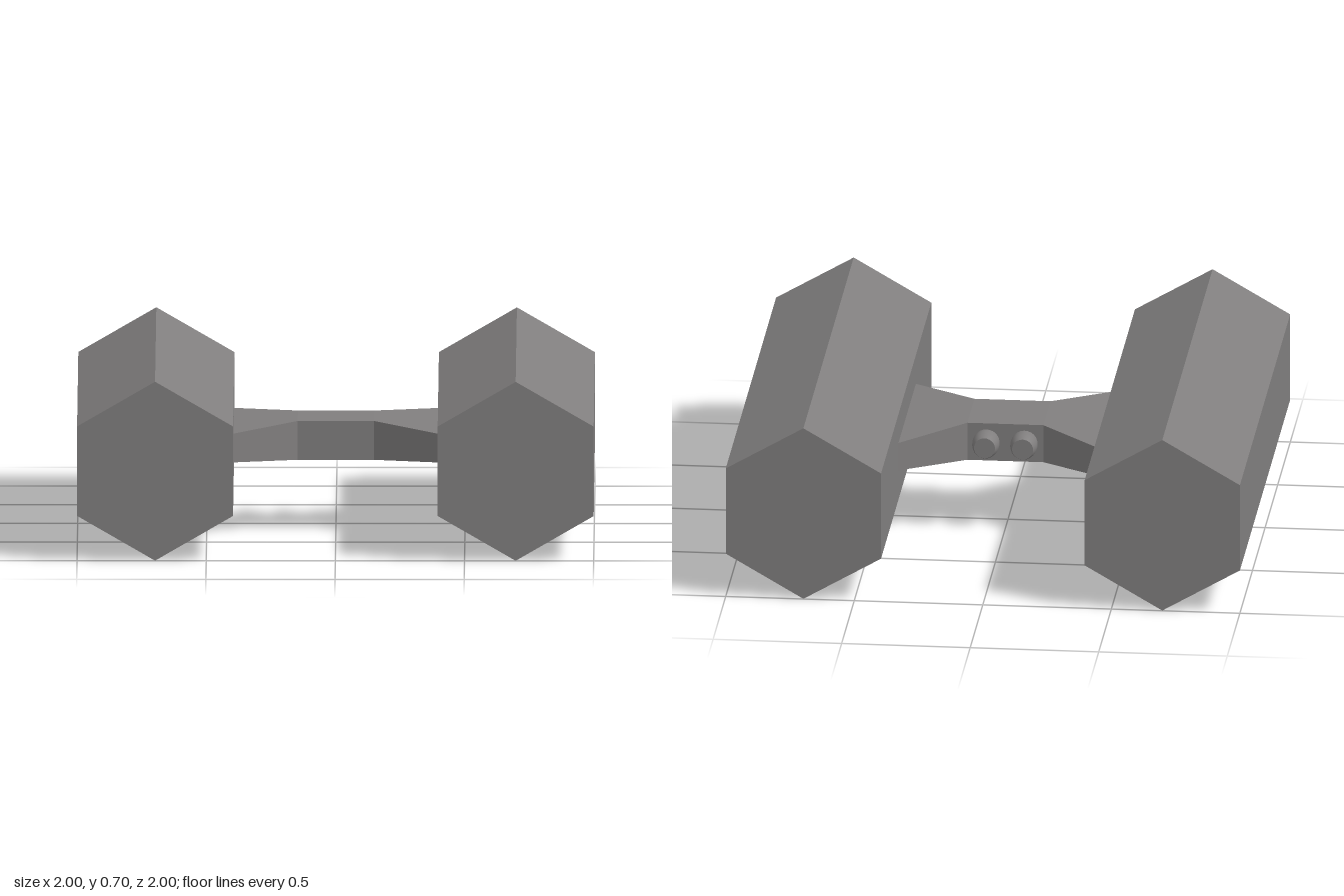
import * as THREE from 'three';

const hull = new THREE.MeshStandardMaterial({ color: 0x807e7e });
hull.name = 'hullGrey';

// Straight-edged solid lofted along x through rectangular sections [x, y0, y1, z0, z1]
function loft(sections) {
  const pos = [];
  const rings = sections.map(([x, y0, y1, z0, z1]) =>
    [[x, y0, z0], [x, y1, z0], [x, y1, z1], [x, y0, z1]]);
  const quad = (a, b, c, d) => pos.push(...a, ...b, ...c, ...a, ...c, ...d);
  for (let i = 0; i < rings.length - 1; i++) {
    for (let j = 0; j < 4; j++) {
      const k = (j + 1) % 4;
      quad(rings[i][j], rings[i][k], rings[i + 1][k], rings[i + 1][j]);
    }
  }
  const first = rings[0], last = rings[rings.length - 1];
  quad(first[3], first[2], first[1], first[0]);
  quad(last[0], last[1], last[2], last[3]);
  const geo = new THREE.BufferGeometry();
  geo.setAttribute('position', new THREE.Float32BufferAttribute(pos, 3));
  geo.computeVertexNormals();
  return geo;
}

// Hexagonal prism along z, with a ridge at top and bottom
function hexPrism() {
  const shape = new THREE.Shape([
    [0, 0.35], [-0.302, 0.175], [-0.302, -0.175],
    [0, -0.35], [0.302, -0.175], [0.302, 0.175],
  ].map(([x, y]) => new THREE.Vector2(x, y)));
  const geo = new THREE.ExtrudeGeometry(shape, { depth: 1.995, bevelEnabled: false });
  geo.translate(0, 0, -0.9975);
  return geo;
}

// Barrel-shaped engine nozzle pointing to the back, with a flat end cap
function nozzle() {
  const group = new THREE.Group();
  const profile = [[0.05, -0.01], [0.053, 0.02], [0.052, 0.04], [0.048, 0.06], [0.041, 0.078]];
  const side = new THREE.LatheGeometry(profile.map(([r, y]) => new THREE.Vector2(r, y)), 24);
  side.rotateX(-Math.PI / 2);
  const cap = new THREE.CircleGeometry(0.041, 24);
  cap.rotateY(Math.PI);
  cap.translate(0, 0, -0.078);
  const parts = { nozzleSide: side, nozzleCap: cap };
  for (const name in parts) {
    const mesh = new THREE.Mesh(parts[name], hull);
    mesh.name = name;
    group.add(mesh);
  }
  return group;
}

export function createModel() {
  const model = new THREE.Group();
  model.name = 'twinHullShip';

  // Central body flaring out and thinning towards both hulls
  const body = new THREE.Mesh(loft([
    [-0.4, 0.295, 0.407, -0.31, 0.387],
    [-0.148, 0.275, 0.427, -0.102, 0.178],
    [0.148, 0.275, 0.427, -0.102, 0.178],
    [0.4, 0.295, 0.407, -0.31, 0.387],
  ]), hull);
  body.name = 'centralBody';
  model.add(body);

  for (const [side, label] of [[1, 'left'], [-1, 'right']]) {
    const pod = new THREE.Mesh(hexPrism(), hull);
    pod.name = label + 'Hull';
    pod.position.set(side * 0.698, 0.35, 0);
    model.add(pod);

    const engine = nozzle();
    engine.name = label + 'Nozzle';
    engine.position.set(side * 0.074, 0.351, -0.1);
    model.add(engine);
  }
  return model;
}
